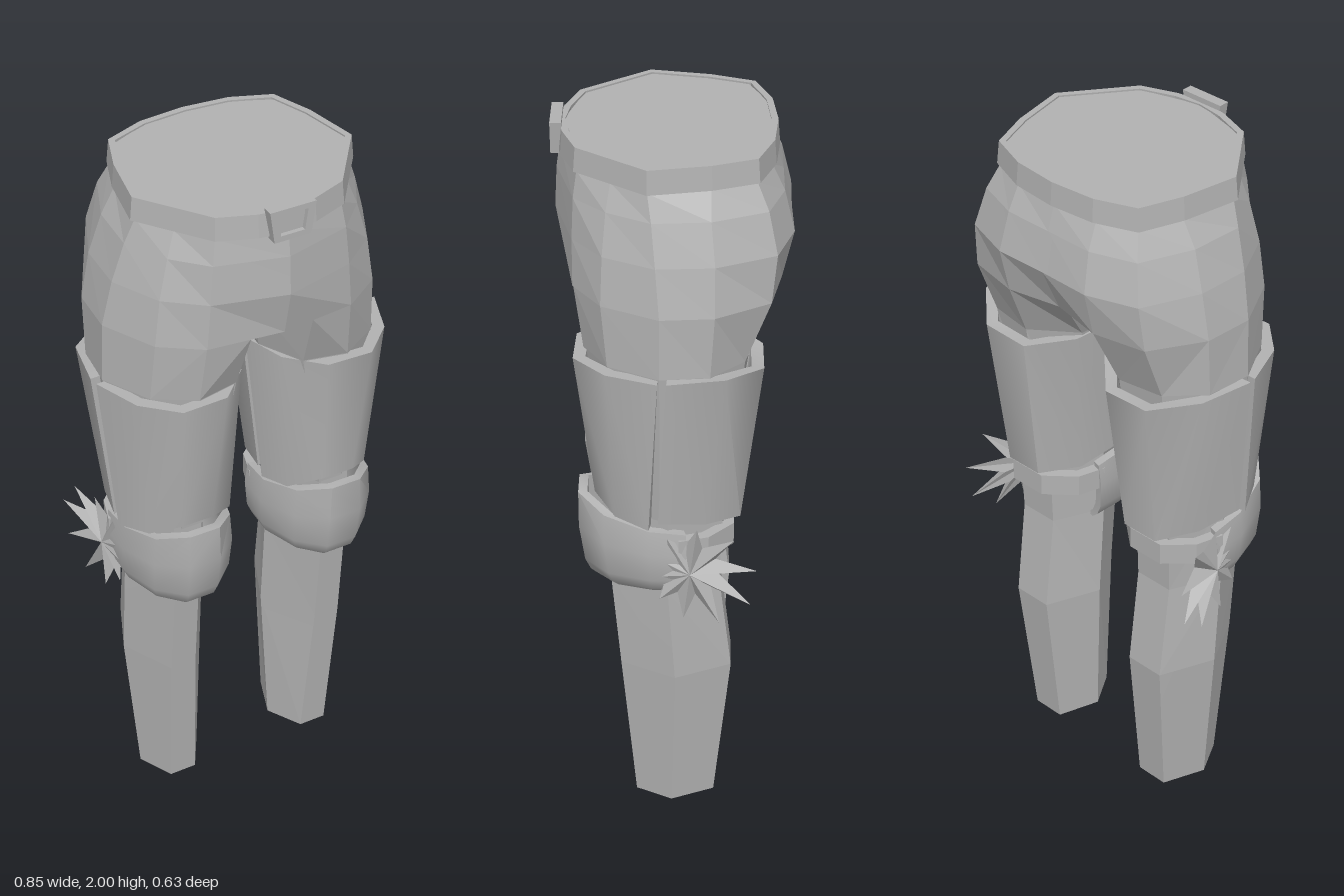
import * as THREE from 'three';
import { toCreasedNormals } from 'three/addons/utils/BufferGeometryUtils.js';

const grey = new THREE.MeshStandardMaterial({ color: 0xb2b2b2 });
grey.name = 'plain grey';

// Triangles to mesh; side -1 mirrors in x and keeps faces outward.
function solid(name, tris, side = 1, crease = 0.02) {
  const pos = [];
  for (const t of tris) {
    for (const p of side < 0 ? [t[0], t[2], t[1]] : t) pos.push(p[0] * side, p[1], p[2]);
  }
  const geo = new THREE.BufferGeometry();
  geo.setAttribute('position', new THREE.Float32BufferAttribute(pos, 3));
  const mesh = new THREE.Mesh(toCreasedNormals(geo, crease), grey);
  mesh.name = name;
  return mesh;
}

const quad = (a, b, c, d) => [[a, b, c], [a, c, d]];
const row = (y, pts) => pts.map(([x, z]) => [x, y, z]);

// Closed loft: rings run top to bottom, each front -> +x -> back.
function loft(rings, bottomY) {
  const tris = [];
  const n = rings[0].length;
  for (let r = 0; r < rings.length - 1; r++) {
    for (let i = 0; i < n; i++) {
      const j = (i + 1) % n;
      tris.push(...quad(rings[r][i], rings[r + 1][i], rings[r + 1][j], rings[r][j]));
    }
  }
  const middle = (ring) => [0, 1, 2].map((k) => ring.reduce((s, p) => s + p[k], 0) / n);
  const last = rings[rings.length - 1];
  const top = middle(rings[0]);
  const bottom = middle(last);
  if (bottomY !== undefined) bottom[1] = bottomY;
  for (let i = 0; i < n; i++) {
    const j = (i + 1) % n;
    tris.push([top, rings[0][i], rings[0][j]], [bottom, last[j], last[i]]);
  }
  return tris;
}

// Thick curved plate: rows run top to bottom, thickened toward an axis at (cx, cz).
function shell(rows, thick, cx, cz) {
  const inner = rows.map((r) => r.map(([x, y, z]) => {
    const k = 1 - thick / Math.hypot(x - cx, z - cz);
    return [cx + (x - cx) * k, y, cz + (z - cz) * k];
  }));
  const tris = [];
  const n = rows[0].length - 1;
  const m = rows.length - 1;
  for (let r = 0; r < m; r++) {
    for (let i = 0; i < n; i++) {
      tris.push(...quad(rows[r][i], rows[r + 1][i], rows[r + 1][i + 1], rows[r][i + 1]));
      tris.push(...quad(inner[r][i], inner[r][i + 1], inner[r + 1][i + 1], inner[r + 1][i]));
    }
    tris.push(...quad(rows[r][0], inner[r][0], inner[r + 1][0], rows[r + 1][0]));
    tris.push(...quad(rows[r][n], rows[r + 1][n], inner[r + 1][n], inner[r][n]));
  }
  for (let i = 0; i < n; i++) {
    tris.push(...quad(rows[0][i], rows[0][i + 1], inner[0][i + 1], inner[0][i]));
    tris.push(...quad(rows[m][i], inner[m][i], inner[m][i + 1], rows[m][i + 1]));
  }
  return tris;
}

// Full ring from the +x half (front centre to back centre).
function symmetric(y, half) {
  const other = half.slice(1, -1).reverse().map(([x, z]) => [-x, z]);
  return row(y, [...half, ...other]);
}

// Spiked rosette: ten broad points flaring outward from the knee.
function star() {
  const tris = [];
  const outer = [0.385, 0.83, -0.05];
  const inner = [0.335, 0.83, -0.05];
  const rim = [];
  for (let i = 0; i < 20; i++) {
    const a = THREE.MathUtils.degToRad(11 + i * 18);
    const back = Math.cos(a);
    const r = i % 2 ? 0.078 : 0.145 + 0.038 * back;
    const x = i % 2 ? 0.36 : 0.388 + 0.026 * back;
    rim.push([x, 0.83 + Math.sin(a) * r, -0.05 - back * r]);
  }
  rim.forEach((p, i) => {
    const q = rim[(i + 1) % 20];
    tris.push([outer, p, q], [inner, q, p]);
  });
  return tris;
}

function buildLeg(side) {
  const leg = new THREE.Group();
  leg.name = side > 0 ? 'leftLeg' : 'rightLeg';

  // Thigh narrowing into the knee
  leg.add(solid('thigh', loft([
    row(1.61, [[0.09, 0.266], [0.21, 0.253], [0.32, 0.18], [0.395, 0.03], [0.385, -0.11], [0.3, -0.255], [0.15, -0.285], [0.0, -0.24], [0.0, 0.1]]),
    row(1.44, [[0.1, 0.205], [0.22, 0.23], [0.33, 0.165], [0.4, 0.03], [0.385, -0.1], [0.3, -0.19], [0.17, -0.21], [0.05, -0.12], [0.035, 0.08]]),
    row(0.98, [[0.18, 0.17], [0.25, 0.17], [0.31, 0.11], [0.35, 0.03], [0.34, -0.05], [0.28, -0.14], [0.17, -0.14], [0.1, -0.06], [0.1, 0.03]]),
  ]), side));

  // Six-sided shin
  leg.add(solid('shin', loft([
    row(1.02, [[0.185, 0.17], [0.27, 0.17], [0.35, 0.01], [0.285, -0.14], [0.165, -0.14], [0.1, 0.01]]),
    row(0.75, [[0.195, 0.165], [0.27, 0.165], [0.345, 0.01], [0.28, -0.13], [0.165, -0.13], [0.1, 0.01]]),
    row(0.46, [[0.195, 0.14], [0.272, 0.14], [0.347, -0.01], [0.28, -0.165], [0.165, -0.165], [0.1, -0.01]]),
    row(0, [[0.18, 0.1], [0.26, 0.1], [0.31, 0.0], [0.26, -0.12], [0.165, -0.12], [0.122, 0.0]]),
  ], 0.015), side));

  // Two-part thigh guard with an open seam
  const dip = [0.97, 0.985, 1.02, 1.02, 0.985, 0.97];
  const frontTop = row(1.437, [[0.02, 0.035], [0.06, 0.16], [0.15, 0.25], [0.28, 0.255], [0.37, 0.17], [0.42, 0.035]]);
  const frontLow = [[0.06, 0.06], [0.09, 0.15], [0.17, 0.205], [0.265, 0.205], [0.335, 0.15], [0.382, 0.06]]
    .map(([x, z], i) => [x, dip[i], z]);
  leg.add(solid('frontThighGuard', shell([frontTop, frontLow], 0.034, 0.22, 0.03), side, 0.9));

  const lift = [1.44, 1.438, 1.415, 1.41, 1.43, 1.44];
  const drop = [0.99, 0.97, 0.95, 0.95, 0.96, 0.99];
  const backTop = [[0.425, 0.012], [0.395, -0.14], [0.29, -0.24], [0.15, -0.24], [0.05, -0.14], [0.022, 0.012]]
    .map(([x, z], i) => [x, lift[i], z]);
  const backLow = [[0.382, 0.035], [0.35, -0.09], [0.275, -0.185], [0.165, -0.185], [0.09, -0.09], [0.062, 0.035]]
    .map(([x, z], i) => [x, drop[i], z]);
  leg.add(solid('backThighGuard', shell([backTop, backLow], 0.034, 0.22, 0.0), side, 0.9));

  // Domed knee pad with a peaked upper edge
  const pad = [[-0.15, -0.04], [-0.155, 0.06], [-0.115, 0.18], [-0.045, 0.25], [0.045, 0.25], [0.115, 0.18], [0.15, 0.06], [0.15, -0.04]];
  const peak = [0, 0.01, 0.04, 0.07, 0.07, 0.04, 0.01, 0];
  const levels = [[0.945, 0.98, 1, 1], [0.88, 1.04, 1, 0.4], [0.8, 1, 0.94, 0], [0.765, 0.9, 0.88, 0], [0.745, 0.76, 0.8, 0]];
  const padRows = levels.map(([y, sx, sz, p]) => pad.map(([x, z], i) => [0.218 + x * sx, y + peak[i] * p, z * sz]));
  leg.add(solid('kneePad', shell(padRows, 0.025, 0.218, 0), side, 0.8));

  // Strap behind the knee
  const strap = [[0.375, -0.02], [0.35, -0.1], [0.28, -0.168], [0.17, -0.168], [0.09, -0.1], [0.065, -0.02]];
  leg.add(solid('kneeStrap', shell([row(0.93, strap), row(0.865, strap)], 0.03, 0.22, 0), side));

  leg.add(solid('kneeSpikes', star(), side));
  return leg;
}

export function createModel() {
  const model = new THREE.Group();
  model.name = 'armouredTrousers';

  // Hips, from the waist to the crotch
  model.add(solid('hips', loft([
    symmetric(1.98, [[0, 0.28], [0.17, 0.232], [0.24, 0.148], [0.3, 0.06], [0.272, -0.1], [0.232, -0.2], [0.13, -0.245], [0, -0.258]]),
    symmetric(1.92, [[0, 0.29], [0.18, 0.24], [0.248, 0.153], [0.308, 0.06], [0.285, -0.1], [0.24, -0.215], [0.135, -0.255], [0, -0.265]]),
    symmetric(1.85, [[0, 0.3], [0.19, 0.25], [0.273, 0.165], [0.335, 0.05], [0.325, -0.1], [0.265, -0.245], [0.14, -0.288], [0, -0.288]]),
    symmetric(1.74, [[0, 0.306], [0.2, 0.255], [0.302, 0.175], [0.368, 0.04], [0.36, -0.11], [0.29, -0.268], [0.15, -0.315], [0, -0.312]]),
    symmetric(1.61, [[0, 0.278], [0.21, 0.255], [0.32, 0.18], [0.395, 0.03], [0.385, -0.11], [0.3, -0.255], [0.15, -0.285], [0, -0.255]]),
  ], 1.575), 1));

  // Belt
  const beltRing = (y, k) => {
    const ring = symmetric(y, [[0, 0.292], [0.08, 0.28], [0.18, 0.243], [0.315, 0.06], [0.285, -0.1], [0.242, -0.217], [0.13, -0.26], [0, -0.272]]
      .map(([x, z]) => [x * k, z * k]));
    return [...ring, ring[0]];
  };
  model.add(solid('belt', shell([beltRing(1.985, 1), beltRing(1.92, 1.02)], 0.018, 0, 0)));

  // Buckle frame and the plate inside it
  const outline = (k) => [[-0.065, 0.045], [-0.052, -0.045], [0.052, -0.045], [0.065, 0.045]]
    .map(([x, y]) => new THREE.Vector2(x * k, y * k));
  const frame = new THREE.Shape(outline(1));
  frame.holes.push(new THREE.Path(outline(0.65)));
  const buckle = new THREE.Mesh(new THREE.ExtrudeGeometry(frame, { depth: 0.03, bevelEnabled: false }), grey);
  buckle.name = 'buckleFrame';
  buckle.position.set(0, 1.955, 0.282);
  const plate = new THREE.Mesh(new THREE.BoxGeometry(0.08, 0.06, 0.015), grey);
  plate.name = 'bucklePlate';
  plate.position.set(0, 1.955, 0.292);
  model.add(buckle, plate);

  model.add(buildLeg(1), buildLeg(-1));
  return model;
}
